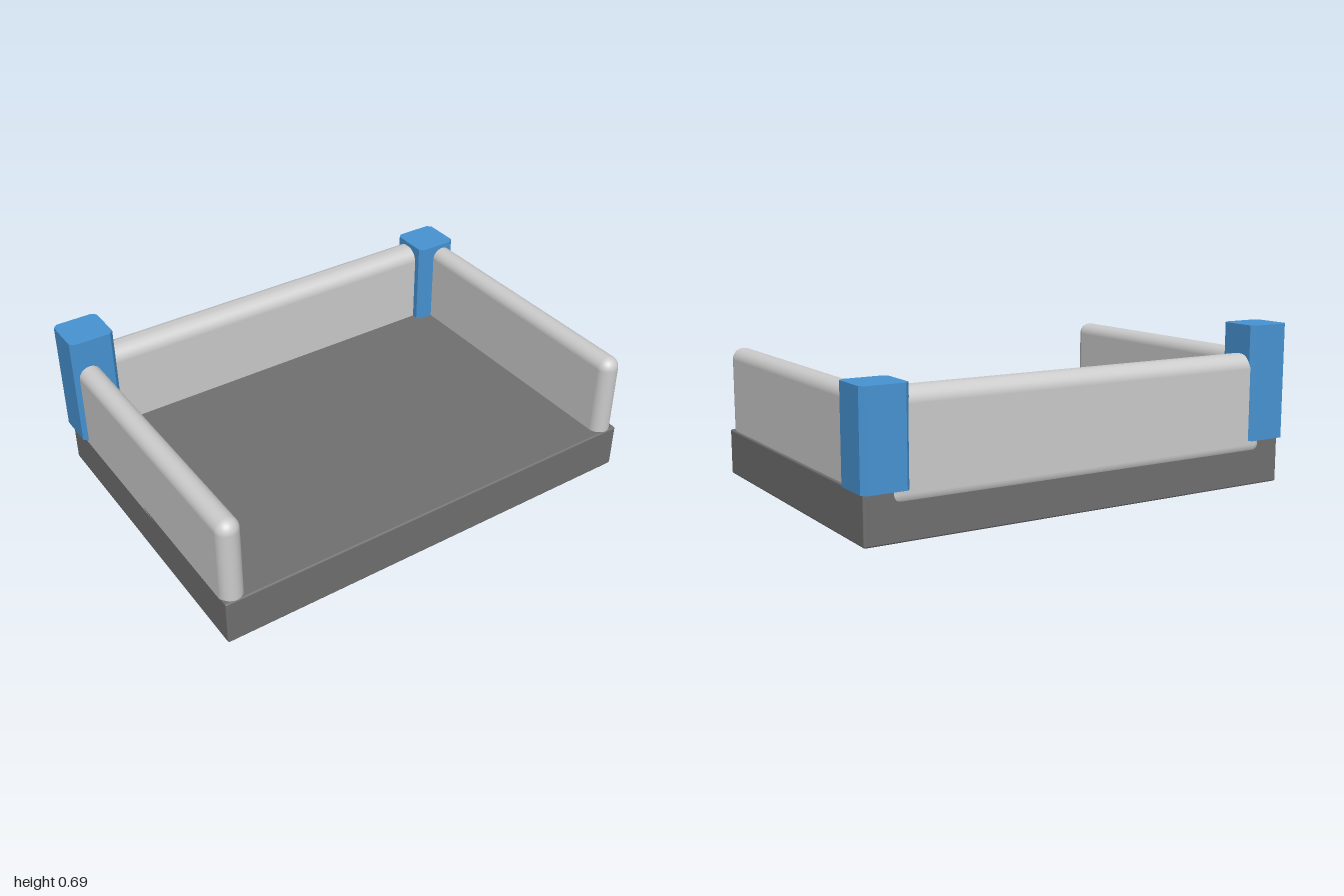
import * as THREE from 'three';
import { RoundedBoxGeometry } from 'three/addons/geometries/RoundedBoxGeometry.js';

const grey = new THREE.MeshStandardMaterial({ color: 0xcccccc });
const dark = new THREE.MeshStandardMaterial({ color: 0x707070 });
const blue = new THREE.MeshStandardMaterial({ color: 0x4794d4 });

// Rounded box given by its minimum and maximum corners
function roundedBox(name, min, max, radius, segments, material) {
  const size = max.map((v, i) => v - min[i]);
  const mesh = new THREE.Mesh(new RoundedBoxGeometry(...size, segments, radius), material);
  mesh.position.set(...max.map((v, i) => (v + min[i]) / 2));
  mesh.name = name;
  return mesh;
}

// Square post with chamfered upright edges
function post(name, x, z, width, depth, bottom, top) {
  const w = width / 2, d = depth / 2, c = 0.018;
  const outline = new THREE.Shape([
    [-w + c, -d], [w - c, -d], [w, -d + c], [w, d - c],
    [w - c, d], [-w + c, d], [-w, d - c], [-w, -d + c],
  ].map(([px, py]) => new THREE.Vector2(px, py)));
  const geometry = new THREE.ExtrudeGeometry(outline, { depth: top - bottom, bevelEnabled: false });
  geometry.rotateX(-Math.PI / 2);
  const mesh = new THREE.Mesh(geometry, blue);
  mesh.position.set(x, bottom, z);
  mesh.name = name;
  return mesh;
}

export function createModel() {
  const model = new THREE.Group();
  model.name = 'walledPlatform';

  // Solid base slab with slightly eased edges
  model.add(roundedBox('base', [-0.98, 0, -0.68], [0.988, 0.2, 0.698], 0.008, 2, dark));

  // Side walls, fully rounded on top and in front; their feet sink into the base
  for (const [name, x] of [['rightWall', -0.93], ['leftWall', 0.93]]) {
    model.add(roundedBox(name, [x - 0.05, 0.13, -0.6], [x + 0.05, 0.566, 0.695], 0.0499, 8, grey));
  }

  // Back wall running between the posts
  model.add(roundedBox('backWall', [-0.9, 0.12, -0.686], [0.9, 0.566, -0.55], 0.06, 8, grey));

  // Corner posts of unequal height
  model.add(post('rightPost', -0.901, -0.605, 0.196, 0.19, 0.196, 0.69));
  model.add(post('leftPost', 0.901, -0.602, 0.196, 0.194, 0.196, 0.586));

  return model;
}
